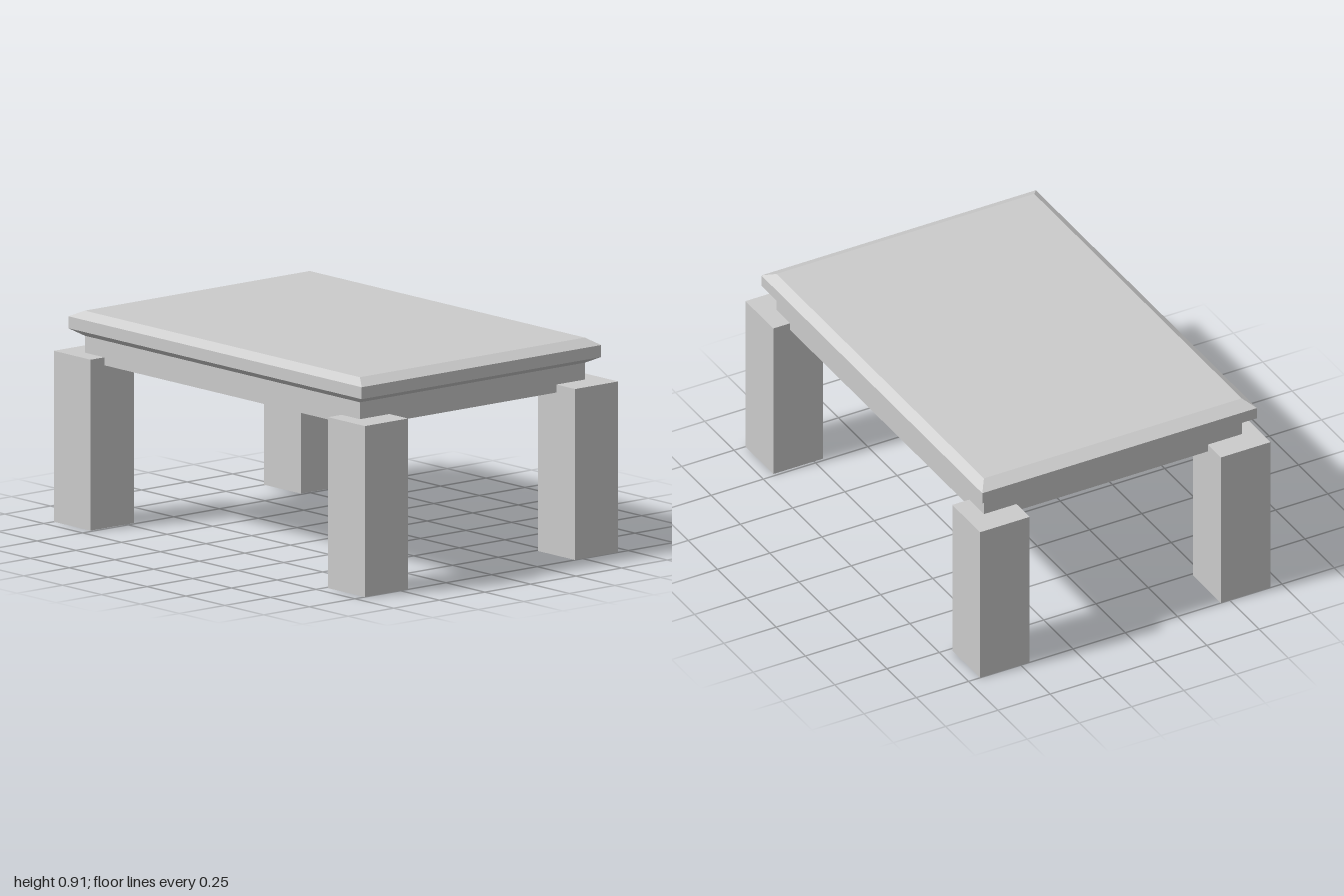
import * as THREE from 'three';

const material = new THREE.MeshStandardMaterial({ color: 0xcccccc, flatShading: true });

function addPart(parent, name, geometry, x, y, z) {
  const mesh = new THREE.Mesh(geometry, material);
  mesh.name = name;
  mesh.position.set(x, y, z);
  parent.add(mesh);
}

// Slab whose top and bottom rims are chamfered inwards; base at y = 0
function chamferedSlab(width, depth, levels, insetX, insetZ) {
  const box = new THREE.BoxGeometry(width, 3, depth, 1, 3, 1);
  const p = box.attributes.position;
  for (let i = 0; i < p.count; i++) {
    const row = Math.round(p.getY(i) + 1.5);
    const inset = row === 0 || row === 3 ? 1 : 0;
    p.setXYZ(
      i,
      p.getX(i) - Math.sign(p.getX(i)) * insetX * inset,
      levels[row],
      p.getZ(i) - Math.sign(p.getZ(i)) * insetZ * inset
    );
  }
  const flat = box.toNonIndexed();
  flat.computeVertexNormals();
  return flat;
}

export function createModel() {
  const table = new THREE.Group();
  table.name = 'table';

  // Top and apron sit very slightly off the centre of the legs
  const offX = -0.003, offZ = -0.004;
  const slab = chamferedSlab(1.314, 1.885, [0, 0.028, 0.079, 0.107], 0.04, 0.058);
  addPart(table, 'tableTop', slab, offX, 0.801, offZ);
  addPart(table, 'apron', new THREE.BoxGeometry(1.234, 0.106, 1.769), offX, 0.748, offZ);

  // Four square legs at the corners
  const legW = 0.237, legH = 0.729;
  const leg = new THREE.BoxGeometry(legW, legH, legW);
  for (const [side, sx] of [['Left', 1], ['Right', -1]]) {
    for (const [end, sz] of [['front', 1], ['back', -1]]) {
      addPart(table, `${end}${side}Leg`, leg, sx * (0.695 - legW / 2), legH / 2, sz * (1 - legW / 2));
    }
  }
  return table;
}
